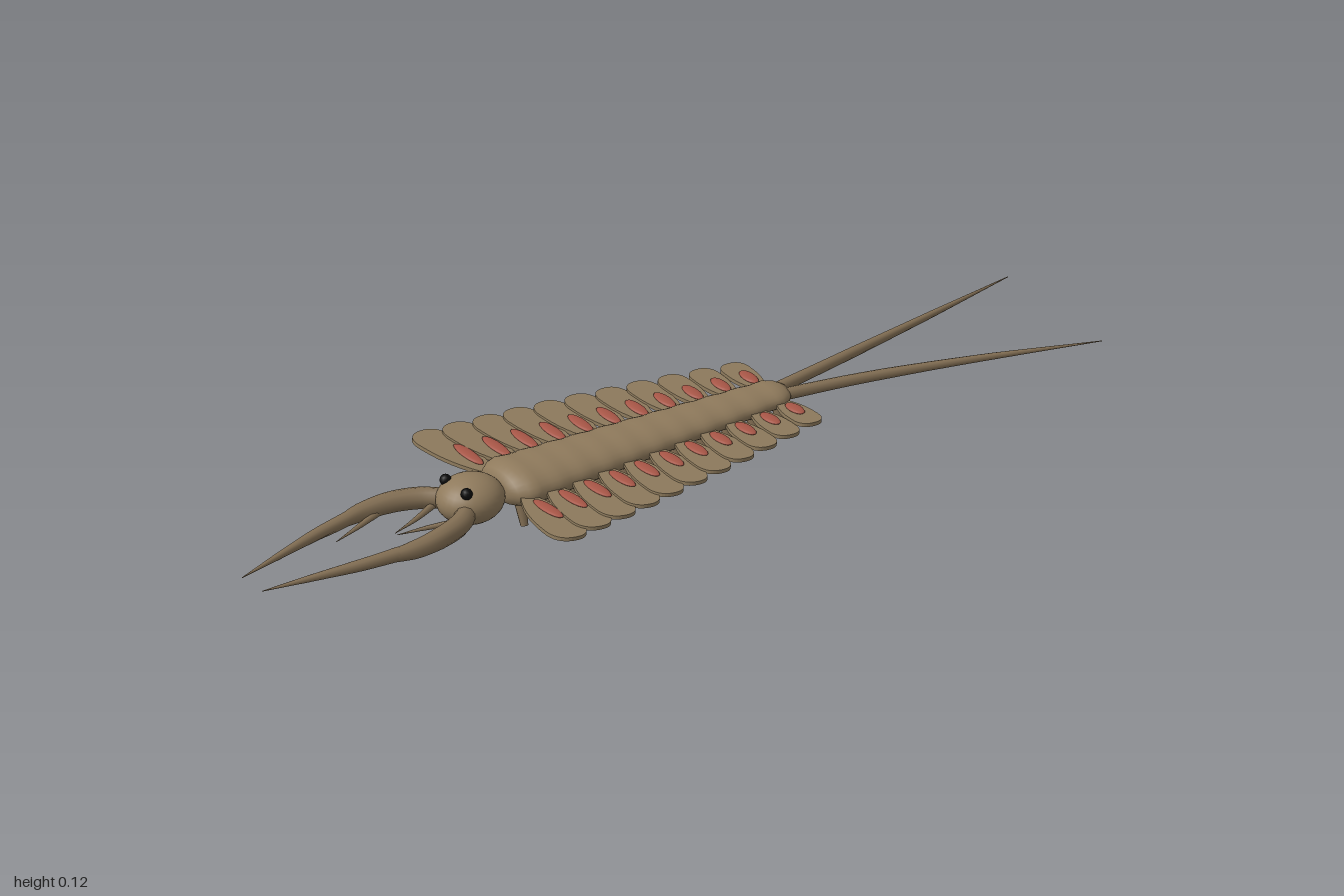
import * as THREE from 'three';

const mat = (name, color, side = THREE.FrontSide) => {
  const m = new THREE.MeshStandardMaterial({ color, side });
  m.name = name;
  return m;
};

// Tube along a curve whose radius follows a short list of values
function taperedTube(points, radii, segments = 24, sides = 10) {
  const curve = new THREE.CatmullRomCurve3(points.map((p) => new THREE.Vector3(...p)));
  const geo = new THREE.TubeGeometry(curve, segments, 1, sides);
  const pos = geo.attributes.position;
  const v = new THREE.Vector3();
  for (let i = 0; i <= segments; i++) {
    const t = i / segments;
    const centre = curve.getPointAt(t);
    const f = t * (radii.length - 1);
    const k = Math.min(Math.floor(f), radii.length - 2);
    const r = THREE.MathUtils.lerp(radii[k], radii[k + 1], f - k);
    for (let j = 0; j <= sides; j++) {
      const n = i * (sides + 1) + j;
      v.fromBufferAttribute(pos, n).sub(centre).multiplyScalar(r).add(centre);
      pos.setXYZ(n, v.x, v.y, v.z);
    }
  }
  return geo;
}

// Rounded paddle: narrow root, broad outer end
function flapGeometry(length, half) {
  const s = new THREE.Shape();
  s.moveTo(0, -half * 0.35);
  s.bezierCurveTo(length * 0.3, -half, length * 0.55, -half * 1.05, length * 0.8, -half);
  s.bezierCurveTo(length * 0.95, -half * 0.9, length, -half * 0.5, length, 0);
  s.bezierCurveTo(length, half * 0.5, length * 0.95, half * 0.9, length * 0.8, half);
  s.bezierCurveTo(length * 0.55, half * 1.05, length * 0.3, half, 0, half * 0.35);
  s.closePath();
  const geo = new THREE.ExtrudeGeometry(s, { depth: 0.008, bevelEnabled: false, curveSegments: 8 });
  return geo.rotateX(Math.PI / 2);
}

export function createModel() {
  const shell = mat('shell tan', 0x8f7a5c);
  const flapTan = mat('flap tan', 0x8e7b5d);
  const limbBrown = mat('limb brown', 0x836f54, THREE.DoubleSide);
  const gillRed = mat('gill red', 0xa65546);
  const eyeBlack = mat('eye black', 0x0a0a0a);

  const model = new THREE.Group();
  model.name = 'swimmingArthropod';
  const add = (parent, name, geo, material, x = 0, y = 0, z = 0) => {
    const mesh = new THREE.Mesh(geo, material);
    mesh.name = name;
    mesh.position.set(x, y, z);
    parent.add(mesh);
    return mesh;
  };

  // Flattened trunk, tapering to the rear, with faint segment ripples
  const count = 11, step = 0.065, firstZ = 0.36;
  const profile = [[0, -0.325], [0.025, -0.322], [0.04, -0.308]];
  for (let i = 0; i <= 44; i++) {
    const t = i / 44;
    const ripple = 0.0015 * Math.cos(t * 10 * Math.PI * 2);
    profile.push([0.046 + 0.038 * t + ripple, -0.29 + 0.635 * t]);
  }
  profile.push([0.08, 0.36], [0.066, 0.378], [0.04, 0.388], [0, 0.39]);
  const trunk = new THREE.LatheGeometry(profile.map((p) => new THREE.Vector2(...p)), 28);
  trunk.rotateX(Math.PI / 2).scale(1, 0.5, 1);
  add(model, 'trunk', trunk, shell, 0, 0.073, 0);

  // Head
  const head = new THREE.SphereGeometry(1, 28, 18).scale(0.067, 0.05, 0.073);
  add(model, 'head', head, shell, 0, 0.068, 0.452);

  // Everything paired is built on the left and mirrored to the right
  for (const side of [1, -1]) {
    const half = new THREE.Group();
    half.name = side > 0 ? 'leftSide' : 'rightSide';
    half.scale.x = side;
    model.add(half);

    add(half, 'eye', new THREE.SphereGeometry(0.0125, 12, 8), eyeBlack, 0.037, 0.104, 0.487);

    // Grasping limb: thick curved arm ending in a long spike
    add(half, 'graspingArm', taperedTube(
      [[0.035, 0.062, 0.485], [0.068, 0.061, 0.525], [0.09, 0.06, 0.585], [0.096, 0.056, 0.65], [0.087, 0.053, 0.72]],
      [0.021, 0.023, 0.022, 0.019, 0.012]), limbBrown);
    add(half, 'armSpike', taperedTube(
      [[0.091, 0.055, 0.69], [0.08, 0.051, 0.77], [0.058, 0.045, 0.88], [0.035, 0.038, 0.99]],
      [0.015, 0.012, 0.007, 0.0008]), limbBrown);
    const spines = [
      [[0.045, 0.052, 0.51], [0.022, 0.047, 0.57], [0.004, 0.042, 0.635]],
      [[0.084, 0.05, 0.62], [0.064, 0.045, 0.685], [0.046, 0.04, 0.75]],
      [[0.09, 0.05, 0.67], [0.078, 0.046, 0.73], [0.07, 0.042, 0.78]],
    ];
    for (const path of spines) {
      add(half, 'armSpine', taperedTube(path, [0.008, 0.005, 0.0006], 8, 8), limbBrown);
    }

    // Tail filament
    add(half, 'tailFilament', taperedTube(
      [[0.012, 0.073, -0.3], [0.045, 0.071, -0.48], [0.098, 0.063, -0.72], [0.165, 0.05, -0.99]],
      [0.013, 0.011, 0.007, 0.0008]), limbBrown);

    // Repeating trunk segments: flap, gill and stub leg
    for (let i = 0; i < count; i++) {
      const t = i / (count - 1);
      const z = firstZ - i * step;
      const bodyHalf = 0.084 - 0.038 * t;
      const root = bodyHalf - 0.015;
      const tip = 0.275 - 0.085 * t - 0.038 * t * t;

      const fin = new THREE.Group();
      fin.name = 'finSegment';
      fin.position.set(root, 0.073, z);
      fin.rotation.set(-0.07, -0.12 * (1 - t), 0.03, 'YZX');
      half.add(fin);
      add(fin, 'flap', flapGeometry(tip - root, 0.043 - 0.012 * t), flapTan);

      const gillLength = 0.1 - 0.042 * t;
      const gill = new THREE.SphereGeometry(1, 16, 8).scale(gillLength / 2, 0.005, 0.014);
      const gillMesh = add(half, 'gill', gill, gillRed, bodyHalf + 0.006 + gillLength / 2, 0.0765, z - 0.002);
      gillMesh.rotation.z = 0.03;

      const leg = new THREE.CylinderGeometry(0.013, 0.008, 0.055, 10);
      const legMesh = add(half, 'stubLeg', leg, limbBrown, 0.051 - 0.018 * t, 0.0285, z);
      legMesh.rotation.z = 0.3;
    }
  }
  return model;
}
